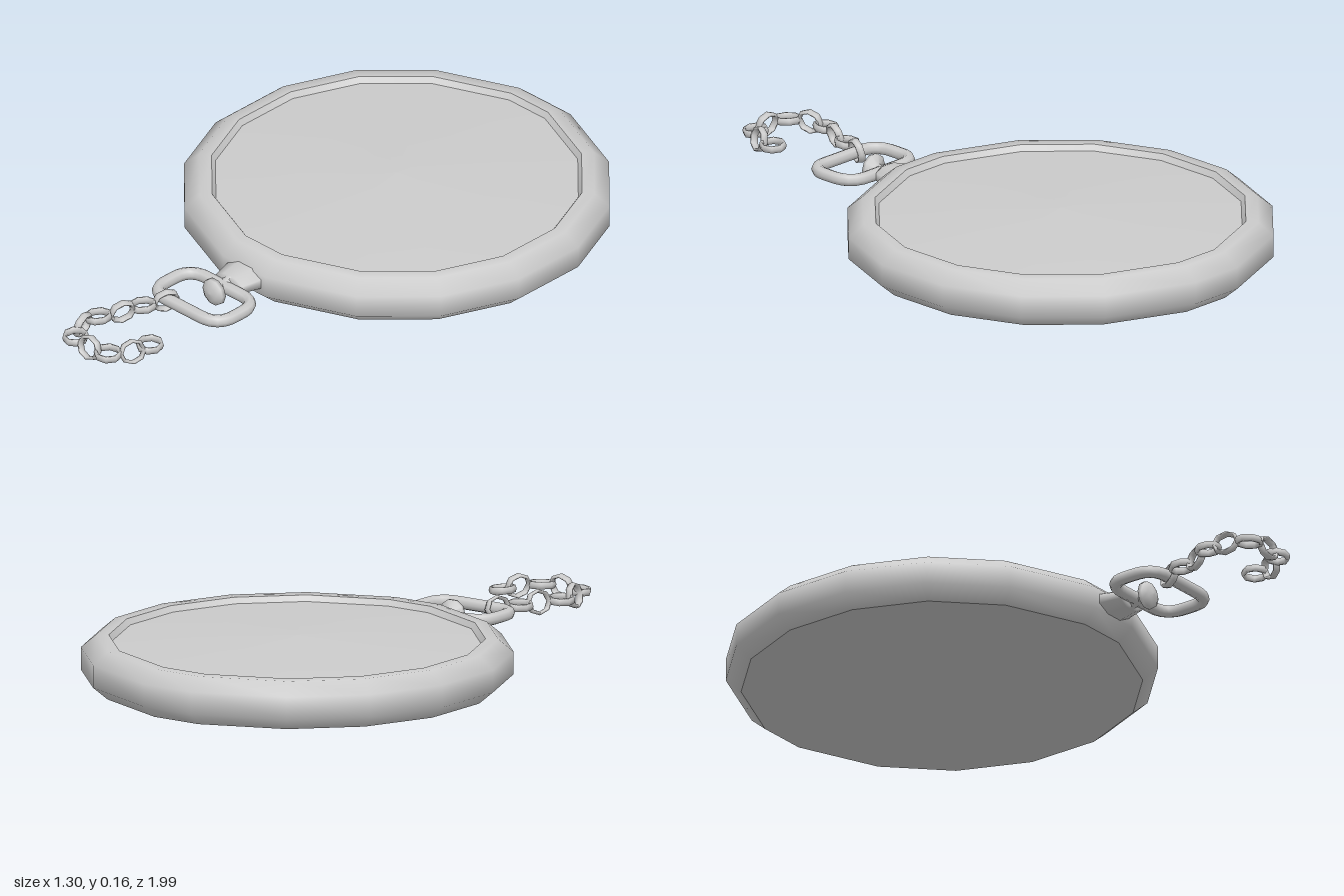
import * as THREE from 'three';

const material = new THREE.MeshStandardMaterial({ color: 0xcccccc, side: THREE.DoubleSide });
const MID_Y = 0.078; // height of the fittings and chain
const BODY_Z = -0.333;

function add(parent, name, geometry) {
  const mesh = new THREE.Mesh(geometry, material);
  mesh.name = name;
  parent.add(mesh);
  return mesh;
}

const profile = (pairs) => pairs.map(([r, y]) => new THREE.Vector2(r, y));

// Sixteen-sided case section, its facets at the front and back pinched narrower
function caseLathe(pairs) {
  const geometry = new THREE.LatheGeometry(profile(pairs), 16, Math.PI / 16);
  const p = geometry.attributes.position;
  for (let i = 0; i < p.count; i++) {
    if (Math.abs(p.getX(i)) < 0.25 * Math.abs(p.getZ(i))) {
      p.setX(i, p.getX(i) * 0.7);
      p.setZ(i, p.getZ(i) * 1.024);
    }
  }
  return geometry.translate(0, 0, BODY_Z);
}

// Lathe turned to lie along z, optionally flattened in y
function axialLathe(pairs, sides, flatten = 1) {
  return new THREE.LatheGeometry(profile(pairs), sides, Math.PI / sides)
    .rotateX(Math.PI / 2)
    .scale(1, flatten, 1)
    .translate(0, MID_Y, 0);
}

// Closed rounded rectangle lying flat
function roundedLoop(halfX, z0, z1, r) {
  const corners = [[halfX, z0], [halfX, z1], [-halfX, z1], [-halfX, z0]]
    .map(([x, z]) => new THREE.Vector3(x, MID_Y, z));
  const path = new THREE.CurvePath();
  const toward = (a, b) => a.clone().add(b.clone().sub(a).setLength(r));
  corners.forEach((c, i) => {
    const prev = corners[(i + 3) % 4], next = corners[(i + 1) % 4];
    path.add(new THREE.QuadraticBezierCurve3(toward(c, prev), c, toward(c, next)));
    path.add(new THREE.LineCurve3(toward(c, next), toward(next, c)));
  });
  return path;
}

export function createModel() {
  const model = new THREE.Group();
  model.name = 'pocketWatch';

  // Case
  const body = new THREE.Group();
  body.name = 'case';
  model.add(body);
  add(body, 'backPlate', caseLathe([[0, 0], [0.617, 0]]));
  add(body, 'rim', caseLathe([[0.617, 0], [0.664, 0.04], [0.664, 0.11], [0.617, 0.15], [0.578, 0.15]]));
  add(body, 'bezelLip', caseLathe([[0.578, 0.15], [0.566, 0.132]]));
  add(body, 'glass', caseLathe([[0.566, 0.132], [0.3, 0.147], [0, 0.156]]));

  // Stem and winding knob
  add(model, 'stem', axialLathe([[0, 0.28], [0.08, 0.28], [0.078, 0.335], [0.06, 0.4], [0.052, 0.41], [0, 0.41]], 8, 0.5));
  add(model, 'knob', axialLathe([[0.03, 0.4], [0.016, 0.43], [0.018, 0.45], [0.045, 0.46], [0.043, 0.473], [0.025, 0.485], [0, 0.488]], 10));

  // Bow the chain hangs from
  add(model, 'bow', new THREE.TubeGeometry(roundedLoop(0.145, 0.422, 0.598, 0.07), 40, 0.02, 8, true));

  // Chain: upright and flat links alternate along a hook-shaped path
  const chain = new THREE.Group();
  chain.name = 'chain';
  model.add(chain);
  const centres = [
    [-0.07, 0.605], [-0.1, 0.675], [-0.12, 0.745], [-0.153, 0.817], [-0.153, 0.885],
    [-0.12, 0.95], [-0.045, 0.965], [0.02, 0.95], [0.066, 0.89], [0.075, 0.823],
  ];
  const linkGeometry = new THREE.TorusGeometry(0.035, 0.006, 6, 8)
    .rotateX(Math.PI / 2)
    .scale(1, 2.1, 1.1);
  centres.forEach(([x, z], i) => {
    const a = centres[Math.max(i - 1, 0)], b = centres[Math.min(i + 1, centres.length - 1)];
    const link = add(chain, 'chainLink' + (i + 1), linkGeometry);
    link.position.set(x, MID_Y, z);
    link.rotation.order = 'YXZ';
    link.rotation.y = Math.atan2(b[0] - a[0], b[1] - a[1]);
    link.rotation.z = i % 2 ? 0.08 : Math.PI / 2 - 0.2;
  });

  return model;
}
